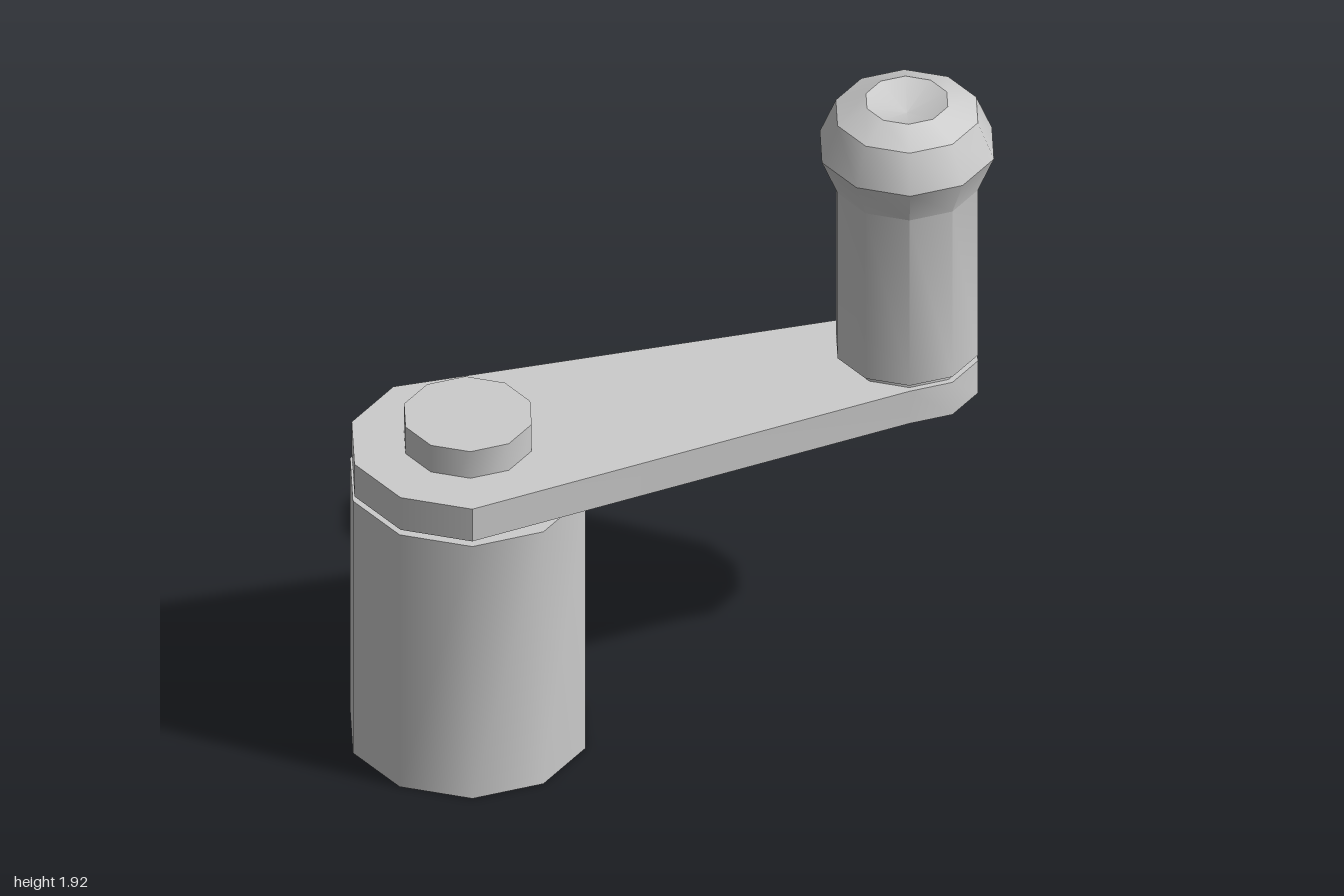
import * as THREE from 'three';
import { toCreasedNormals } from 'three/addons/utils/BufferGeometryUtils.js';

const SIDES = 10;
const CREASE = THREE.MathUtils.degToRad(39);
const BASE_X = -0.64, HANDLE_X = 0.734;

export function createModel() {
  const group = new THREE.Group();
  const material = new THREE.MeshStandardMaterial({ color: 0xcccccc });

  function add(name, geometry, x, y) {
    const mesh = new THREE.Mesh(toCreasedNormals(geometry, CREASE), material);
    mesh.name = name;
    mesh.position.set(x, y, 0);
    group.add(mesh);
  }

  // Ten-sided cylinder with corners on the x axis, standing from y0 to y1
  function drum(name, radius, y0, y1, x) {
    const g = new THREE.CylinderGeometry(radius, radius, y1 - y0, SIDES, 1, false, Math.PI / 2);
    add(name, g, x, (y0 + y1) / 2);
  }

  // Base drum and the pivot pin that passes through the arm
  drum('base', 0.36, 0, 0.9, BASE_X);
  drum('pivotPin', 0.195, 0.88, 1.125, BASE_X);

  // Tapered arm: wide decagon end around the base, narrow one under the handle
  const outline = [];
  function arc(cx, radius, first, last) {
    for (let i = first; i <= last; i++) {
      const a = (i * 2 * Math.PI) / SIDES;
      outline.push(new THREE.Vector2(cx + radius * Math.cos(a), radius * Math.sin(a)));
    }
  }
  arc(HANDLE_X, 0.217, -3, 3);
  arc(BASE_X, 0.355, 3, 7);
  const arm = new THREE.ExtrudeGeometry(new THREE.Shape(outline), { depth: 0.115, bevelEnabled: false });
  arm.rotateX(-Math.PI / 2);
  add('arm', arm, 0, 0.915);

  // Short neck below the handle
  drum('handleNeck', 0.198, 1.02, 1.06, HANDLE_X);

  // Handle with flared head and dished top
  const profile = [
    [0, 1.05], [0.217, 1.05], [0.217, 1.64], [0.266, 1.76],
    [0.217, 1.88], [0.125, 1.92], [0, 1.875],
  ].map(([r, y]) => new THREE.Vector2(r, y));
  add('handle', new THREE.LatheGeometry(profile, SIDES, Math.PI / 2), HANDLE_X, 0);

  return group;
}
